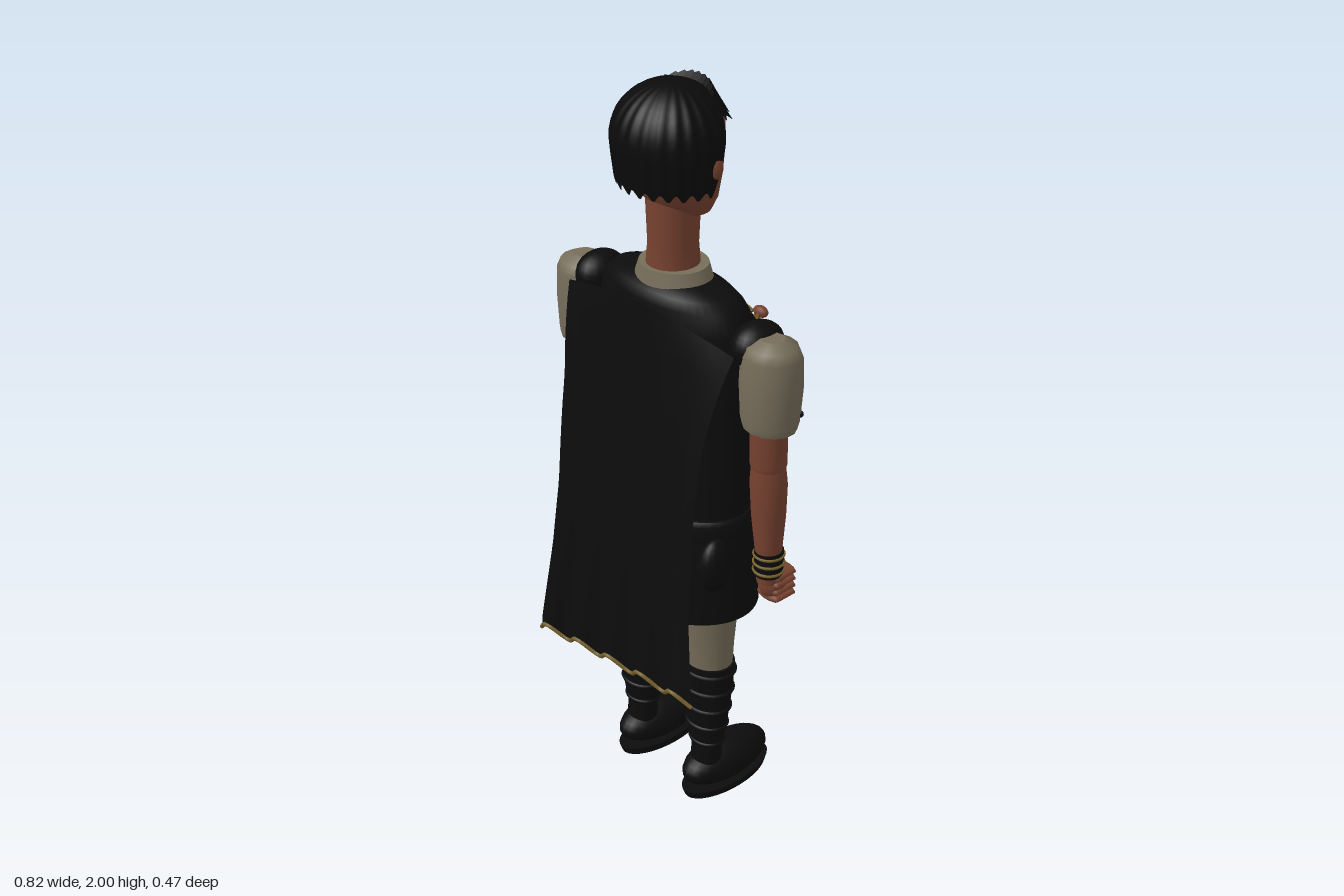
import * as THREE from 'three';

const mat = (name, color, side = THREE.FrontSide) => {
  const m = new THREE.MeshStandardMaterial({ color, side });
  m.name = name;
  return m;
};

export function createModel() {
  const model = new THREE.Group();
  model.name = 'cloakedFigure';
  const cloth = mat('blackCloth', 0x0c0c0d, THREE.DoubleSide);
  const hairMat = mat('blackHair', 0x0a0a0a, THREE.DoubleSide);
  const linen = mat('linen', 0x766d5a);
  const skin = mat('skin', 0x774230);
  const gold = mat('goldTrim', 0x75602c);
  const leather = mat('strapLeather', 0x40382a);
  const lip = mat('lips', 0x52241c);
  const eyeWhite = mat('eyeWhite', 0x8f867a);

  const add = (name, geo, material, x = 0, y = 0, z = 0) => {
    const m = new THREE.Mesh(geo, material);
    m.name = name;
    m.position.set(x, y, z);
    model.add(m);
    return m;
  };
  const ball = (name, material, x, y, z, rx, ry, rz, n = 20) => {
    const m = add(name, new THREE.SphereGeometry(1, n, Math.ceil(n * 0.7)), material, x, y, z);
    m.scale.set(rx, ry, rz);
    return m;
  };

  // Grid surface from fn(u, v) -> [x, y, z]; closed grids wrap round u and may be capped
  const grid = (nu, nv, fn, closed = false, caps = false) => {
    const pos = [], idx = [], w = closed ? nu : nu + 1;
    for (let j = 0; j <= nv; j++) for (let i = 0; i < w; i++) pos.push(...fn(i / nu, j / nv));
    for (let j = 0; j < nv; j++) for (let i = 0; i < nu; i++) {
      const a = j * w + i, b = j * w + (i + 1) % w;
      idx.push(a, b, b + w, a, b + w, a + w);
    }
    if (caps) for (const v of [0, 1]) {
      const base = pos.length / 3, c = [0, 0, 0];
      for (let i = 0; i < nu; i++) {
        const p = fn(i / nu, v);
        pos.push(...p);
        p.forEach((q, k) => { c[k] += q / nu; });
      }
      pos.push(...c);
      for (let i = 0; i < nu; i++) {
        const a = base + i, b = base + (i + 1) % nu;
        idx.push(base + nu, v ? a : b, v ? b : a);
      }
    }
    const g = new THREE.BufferGeometry();
    g.setAttribute('position', new THREE.Float32BufferAttribute(pos, 3));
    g.setIndex(idx);
    g.computeVertexNormals();
    return g;
  };

  // Elliptical cross-sections [y, rx, rz, cz, cx]
  const loft = (rings, n = 32) => grid(n, rings.length - 1, (u, v) => {
    const [y, rx, rz, cz = 0, cx = 0] = rings[Math.round(v * (rings.length - 1))];
    const a = u * Math.PI * 2;
    return [cx + rx * Math.sin(a), y, cz + rz * Math.cos(a)];
  }, true, true);

  // Interpolated value in a table whose first column is sorted upward
  const sample = (rows, y) => {
    let i = 0;
    while (i < rows.length - 2 && rows[i + 1][0] < y) i++;
    const t = THREE.MathUtils.clamp((y - rows[i][0]) / (rows[i + 1][0] - rows[i][0]), 0, 1);
    return rows[i].map((q, k) => q + (rows[i + 1][k] - q) * t);
  };
  // Point on the front of a lofted body; angle 0 is straight ahead (-z)
  const onBody = (rings, y, a, off = 0.003) => {
    const [, rx, rz, cz = 0] = sample(rings, y);
    return new THREE.Vector3((rx + off) * Math.sin(a), y, cz - (rz + off) * Math.cos(a));
  };
  const tube = (name, pts, r, material, n = 48) =>
    add(name, new THREE.TubeGeometry(new THREE.CatmullRomCurve3(pts), n, r, 6), material);

  // Tunic, skirt, belt and collar
  const torso = [[0.88, 0.235, 0.145, -0.005], [1.05, 0.235, 0.145, -0.015], [1.2, 0.24, 0.148, -0.018],
    [1.35, 0.25, 0.14, -0.02], [1.43, 0.245, 0.125, -0.015], [1.48, 0.22, 0.11, -0.005],
    [1.505, 0.19, 0.095, 0], [1.52, 0.1, 0.07, 0]];
  const skirt = [[0.64, 0.262, 0.185, 0], [0.76, 0.257, 0.18, 0], [0.87, 0.245, 0.162, 0], [0.92, 0.235, 0.15, 0]];
  add('tunic', loft(torso, 48), cloth);
  add('skirt', loft(skirt, 48), cloth);
  add('belt', loft([[0.87, 0.245, 0.155, -0.003], [0.88, 0.252, 0.162, -0.003],
    [0.92, 0.25, 0.16, -0.003], [0.93, 0.24, 0.15, -0.003]], 48), cloth);
  add('collar', loft([[1.5, 0.112, 0.09, -0.003], [1.525, 0.1, 0.086, -0.003], [1.55, 0.09, 0.082, -0.003]]), linen);
  add('buckle', new THREE.TorusGeometry(0.024, 0.008, 8, 20), skin, 0, 0.905, -0.166).scale.x = 1.3;
  ball('pouch', cloth, 0.235, 0.82, 0.075, 0.035, 0.075, 0.05);

  // Gold bands with a row of open diamonds
  const band = (name, rings, low, high, spread, count) => {
    for (const h of [low, high]) {
      const pts = Array.from({ length: 25 }, (_, i) => {
        const a = (i / 12 - 1) * spread;
        return onBody(rings, h(a), a);
      });
      tube(name + 'Line', pts, 0.004, gold);
    }
    for (let i = 0; i < count; i++) {
      const a = ((i + 0.5) / count * 2 - 1) * spread, y = (low(a) + high(a)) / 2;
      const p = onBody(rings, y, a, 0.004);
      const d = add(name + 'Diamond', new THREE.TorusGeometry(0.017, 0.0035, 4, 4), gold, p.x, p.y, p.z);
      d.lookAt(onBody(rings, y, a, 0.2));
    }
  };
  band('chestBand', torso, a => 1.375 + 0.035 * a * a, a => 1.43 + 0.03 * a * a, 1.15, 9);
  band('skirtBand', skirt, () => 0.672, () => 0.765, 1.15, 8);

  // Shoulder strap
  const v3 = (x, y, z) => new THREE.Vector3(x, y, z);
  tube('strap', [v3(-0.205, 1.45, -0.09), v3(-0.16, 1.38, -0.145), v3(-0.05, 1.24, -0.182),
    v3(0.06, 1.1, -0.178), v3(0.15, 0.99, -0.14), v3(0.22, 0.92, -0.07)], 0.013, leather);

  // Cape with a scalloped, gold-edged hem
  const capeWidth = [[0.45, 0.3], [0.7, 0.265], [0.9, 0.25], [1.2, 0.255], [1.35, 0.28], [1.43, 0.295], [1.47, 0.27]];
  const capePoint = (u, v) => {
    const s = u * 2 - 1;
    const yTop = 1.485 - 0.06 * s * s;
    const yHem = 0.475 + 0.03 * s + 0.02 * Math.cos(s * 15) - 0.01 * s * s;
    const y = yHem + (yTop - yHem) * v;
    const x = s * sample(capeWidth, y)[1];
    const z = 0.222 - 0.095 * v - 0.045 * s * s * v ** 6 + 0.013 * Math.cos(s * 15) * (1 - v) ** 2;
    return [x, y, z];
  };
  add('cape', grid(60, 24, capePoint), cloth);
  tube('capeHem', Array.from({ length: 41 }, (_, i) => v3(...capePoint(i / 40, 0))), 0.006, gold, 100);

  // Head, neck and face
  const head = [[1.665, 0.04, 0.035, -0.045], [1.68, 0.07, 0.062, -0.035], [1.72, 0.098, 0.088, -0.02],
    [1.78, 0.115, 0.104, -0.01], [1.85, 0.128, 0.115, 0], [1.91, 0.128, 0.112, 0],
    [1.95, 0.105, 0.095, 0], [1.98, 0.05, 0.05, 0]];
  add('head', loft(head), skin);
  add('neck', loft([[1.53, 0.068, 0.068], [1.6, 0.06, 0.064, 0], [1.72, 0.066, 0.068, 0]], 24), skin);
  ball('nose', skin, 0, 1.8, -0.117, 0.017, 0.015, 0.02, 12);
  ball('noseBridge', skin, 0, 1.825, -0.112, 0.011, 0.032, 0.013, 12);
  const facePlate = (name, material, a, y, w, h, off = 0.001, roll = 0) => {
    const p = onBody(head, y, a, off);
    const m = ball(name, material, p.x, p.y, p.z, w, h, 0.004, 12);
    m.lookAt(onBody(head, y, a, 0.2));
    m.rotateZ(roll);
  };
  facePlate('mouth', lip, 0, 1.745, 0.028, 0.008);

  // Hair cap: long at the back and sides, short over the brow
  add('hair', grid(144, 14, (u, v) => {
    const a = (u * 2 - 1) * Math.PI, d = Math.abs(a);
    const front = THREE.MathUtils.smoothstep(d, 1.5, 1.95);
    const yHem = 1.76 + 0.17 * front + 0.01 * Math.sin(a * 24);
    const y = yHem + (2 - yHem) * (1 - (1 - v) ** 2);
    const h = Math.max(0, (y - 1.87) / 0.13);
    const r = Math.sqrt(Math.max(0, 1 - h * h)) * (1 + 0.014 * Math.sin(a * 24)) * (1 - Math.max(0, 1.85 - y) * 0.8);
    return [0.151 * r * Math.sin(a), y, (Math.cos(a) > 0 ? 0.145 : 0.128) * r * Math.cos(a)];
  }, true), hairMat);
  for (let i = -4; i <= 4; i++) {
    const lock = add('fringeLock', new THREE.ConeGeometry(0.016, 0.09, 6), hairMat,
      i * 0.021, 1.955 - 0.0012 * i * i, -0.1 + 0.0018 * i * i);
    lock.quaternion.setFromUnitVectors(v3(0, 1, 0), v3(i * 0.06, -0.75, -0.65).normalize());
  }

  for (const s of [-1, 1]) {
    // Eyes, brows and ears
    facePlate('eye', eyeWhite, s * 0.38, 1.838, 0.018, 0.008);
    facePlate('pupil', hairMat, s * 0.38, 1.838, 0.007, 0.008, 0.003);
    facePlate('brow', hairMat, s * 0.4, 1.866, 0.027, 0.005, 0.001, s * 0.12);
    ball('ear', skin, s * 0.135, 1.825, -0.005, 0.02, 0.034, 0.02, 12);

    // Puffed sleeve, shoulder roll and brooch
    const sx = s * 0.333;
    add('sleeve', loft([[1.23, 0.07, 0.062, -0.003, sx], [1.25, 0.075, 0.067, -0.003, sx], [1.34, 0.08, 0.073, -0.004, sx],
      [1.42, 0.077, 0.07, -0.004, sx], [1.445, 0.066, 0.06, -0.004, sx], [1.462, 0.03, 0.03, -0.004, sx]], 14), linen);
    for (let i = 0; i < 5; i++) {
      const a = Math.PI + (i - 2) * 0.45;
      ball('sleeveStud', cloth, sx + 0.077 * Math.sin(a), 1.27, -0.003 + 0.069 * Math.cos(a), 0.007, 0.009, 0.006, 8);
    }
    ball('shoulderRoll', cloth, s * 0.28, 1.425, -0.01, 0.055, 0.058, 0.073);
    ball('brooch', skin, s * 0.205, 1.455, -0.095, 0.022, 0.015, 0.014, 12);

    // Arm, wrist bands and fist
    const ax = s * 0.33;
    add('upperArm', loft([[1.105, 0.04, 0.04, -0.008, ax], [1.13, 0.047, 0.046, -0.006, ax], [1.26, 0.046, 0.046, -0.003, ax]], 20), skin);
    add('forearm', loft([[0.78, 0.03, 0.032, -0.02, ax], [0.87, 0.033, 0.035, -0.016, ax], [0.98, 0.044, 0.043, -0.012, ax],
      [1.07, 0.048, 0.046, -0.009, ax], [1.12, 0.043, 0.042, -0.007, ax]], 20), skin);
    add('wristGuard', new THREE.CylinderGeometry(0.038, 0.037, 0.07, 20), cloth, ax, 0.838, -0.018);
    for (const y of [0.815, 0.838, 0.861]) {
      add('wristRing', new THREE.TorusGeometry(0.038, 0.004, 6, 24), gold, ax, y, -0.018).rotation.x = Math.PI / 2;
    }
    ball('palm', skin, s * 0.332, 0.772, -0.032, 0.034, 0.045, 0.04, 14);
    for (let i = 0; i < 4; i++) {
      const f = add('finger', new THREE.CapsuleGeometry(0.012, 0.055, 4, 10), skin, s * 0.334, 0.736 + i * 0.021, -0.045);
      f.rotation.x = Math.PI / 2;
      f.scale.x = 3.2;
    }
    const thumb = add('thumb', new THREE.CapsuleGeometry(0.012, 0.045, 4, 8), skin, s * 0.305, 0.785, -0.07);
    thumb.rotation.x = 0.5;

    // Leg, laced boot and shoe
    const lx = s * 0.13;
    add('leg', loft([[0.4, 0.068, 0.058, -0.008, lx], [0.5, 0.072, 0.065, -0.007, lx],
      [0.6, 0.078, 0.078, -0.005, lx], [0.7, 0.085, 0.085, -0.005, lx]], 24), linen);
    const boot = [[0.08, 0.045, 0.045, -0.005, lx], [0.15, 0.045, 0.037, -0.005, lx], [0.22, 0.058, 0.048, -0.005, lx],
      [0.3, 0.068, 0.055, -0.006, lx], [0.38, 0.074, 0.062, -0.008, lx], [0.44, 0.077, 0.065, -0.008, lx]];
    add('boot', loft(boot, 24), cloth);
    for (let i = 0; i < 5; i++) {
      const y = 0.175 + i * 0.06, [, rx, rz, cz] = sample(boot, y);
      const lace = add('bootLace', new THREE.TorusGeometry(1, 0.1, 6, 28), cloth, lx, y, cz);
      lace.rotation.x = Math.PI / 2;
      lace.scale.set(rx, rz, 0.07);
    }
    ball('shoe', cloth, lx, 0.072, -0.075, 0.071, 0.06, 0.147, 24);
    add('sole', new THREE.CylinderGeometry(1, 0.94, 0.024, 32), cloth, lx, 0.012, -0.078).scale.set(0.068, 1, 0.153);
  }
  return model;
}
